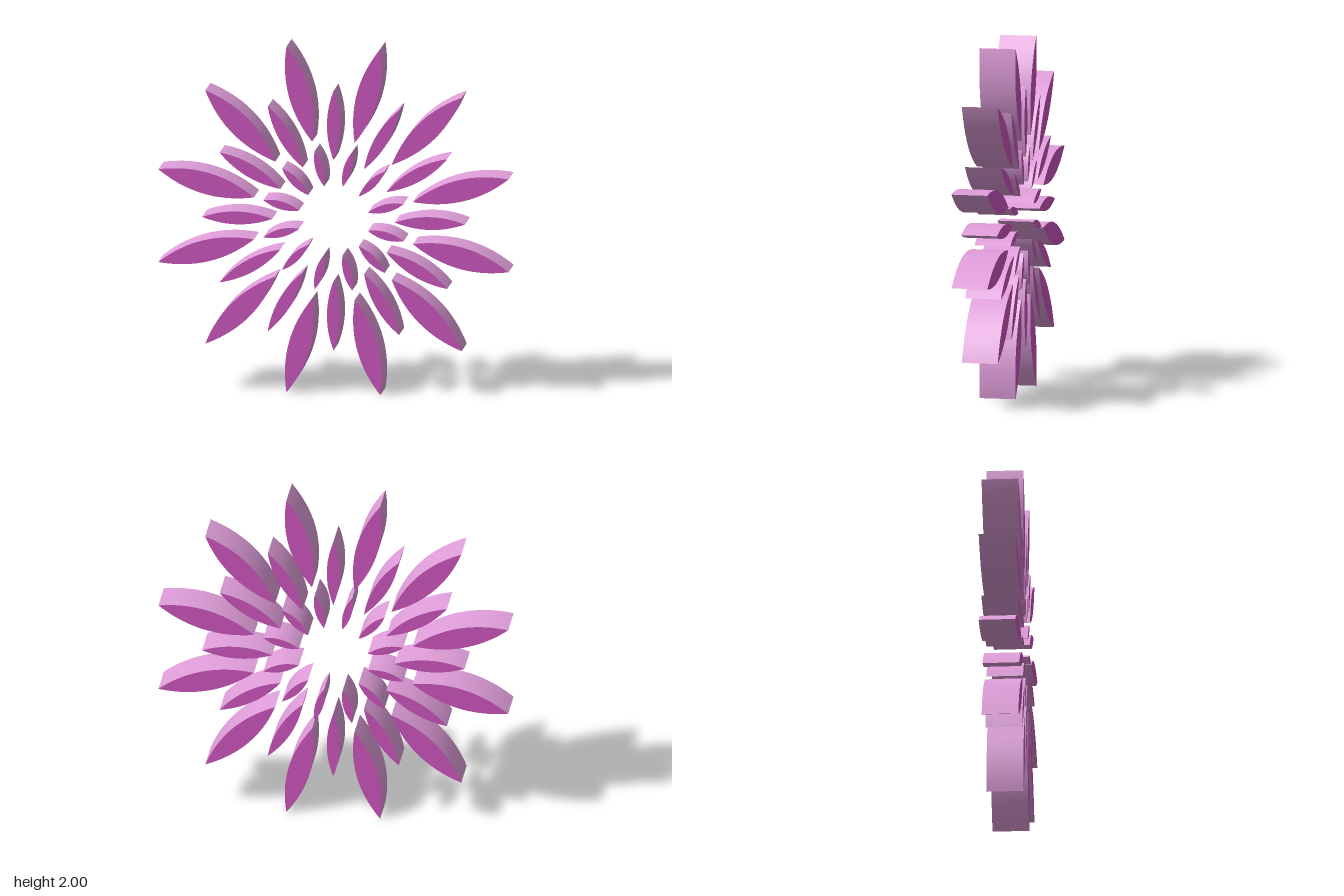
import * as THREE from 'three';
import { toCreasedNormals } from 'three/addons/utils/BufferGeometryUtils.js';

const DEPTH = 0.208;
const PETALS = 12;

// Each ring: inner and outer radius, half width of a petal, first angle in degrees
const RINGS = [
  { name: 'outer', inner: 0.47, outer: 1.035, half: 0.062, start: 15 },
  { name: 'middle', inner: 0.35, outer: 0.75, half: 0.037, start: 0 },
  { name: 'inner', inner: 0.204, outer: 0.414, half: 0.023, start: 15 },
];

// Pointed lens lying along +x, extruded through the flower's depth
function petalGeometry({ inner, outer, half }) {
  const mid = (inner + outer) / 2;
  const shape = new THREE.Shape();
  shape.moveTo(inner, 0);
  shape.quadraticCurveTo(mid, -2 * half, outer, 0);
  shape.quadraticCurveTo(mid, 2 * half, inner, 0);
  const geometry = new THREE.ExtrudeGeometry(shape, {
    depth: DEPTH, bevelEnabled: false, curveSegments: 20,
  });
  geometry.translate(0, 0, -DEPTH / 2);
  return toCreasedNormals(geometry, 0.5);
}

export function createModel() {
  const model = new THREE.Group();
  model.name = 'flower';

  // Saturated faces, paler side walls
  const face = new THREE.MeshStandardMaterial({ color: 0xcc55bd });
  const side = new THREE.MeshStandardMaterial({ color: 0xdf9dd9 });

  // Whole flower is turned about the vertical axis
  const blossom = new THREE.Group();
  blossom.name = 'blossom';
  blossom.position.y = 1;
  blossom.rotation.y = THREE.MathUtils.degToRad(26.8);
  model.add(blossom);

  for (const ring of RINGS) {
    const group = new THREE.Group();
    group.name = ring.name + 'Ring';
    const geometry = petalGeometry(ring);
    for (let i = 0; i < PETALS; i++) {
      const petal = new THREE.Mesh(geometry, [face, side]);
      petal.name = ring.name + 'Petal';
      petal.rotation.z = THREE.MathUtils.degToRad(ring.start + (360 / PETALS) * i);
      group.add(petal);
    }
    blossom.add(group);
  }
  return model;
}
